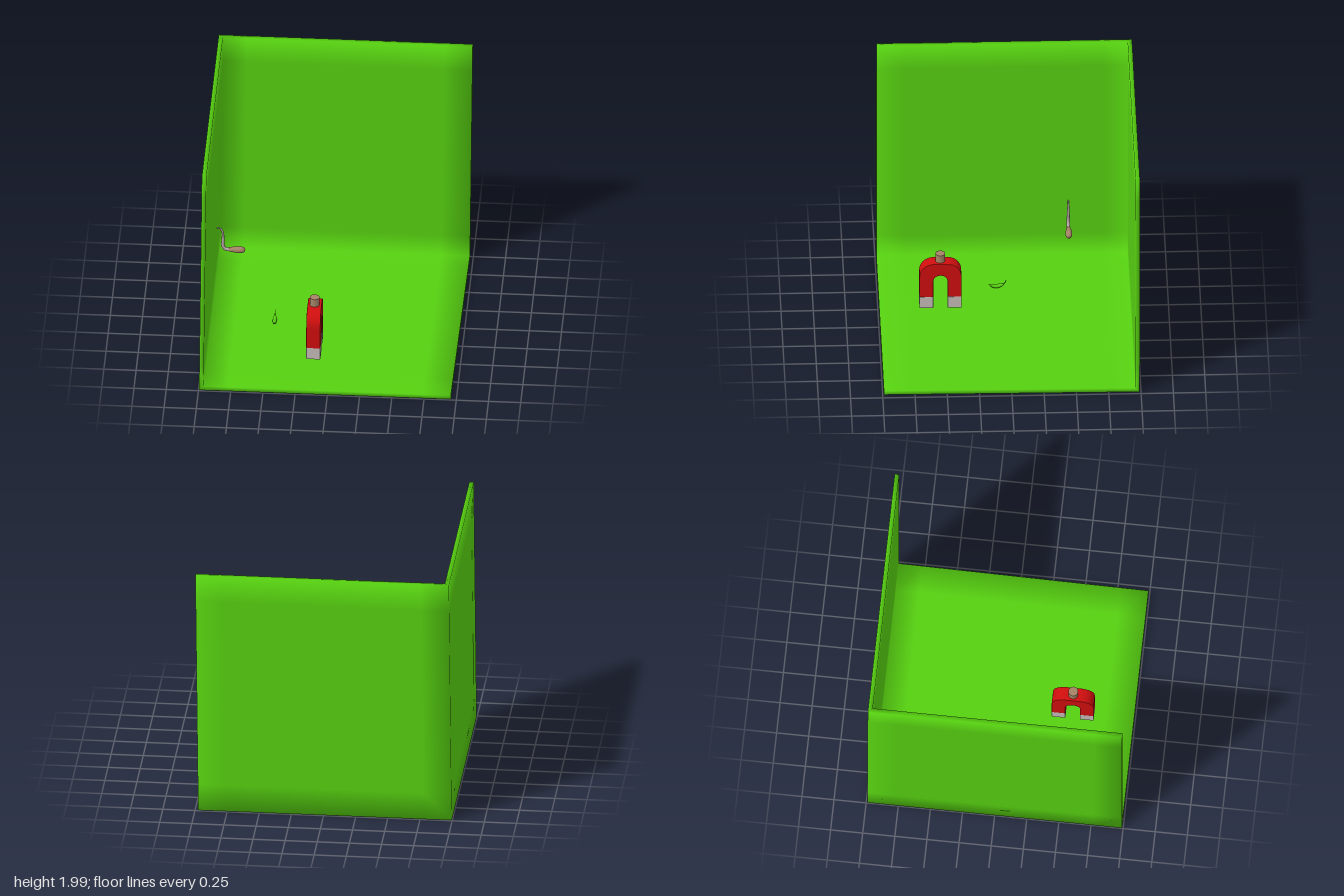
import * as THREE from 'three';

const paint = (name, color) => {
  const m = new THREE.MeshStandardMaterial({ color });
  m.name = name;
  return m;
};

function addMesh(parent, name, geometry, material, x = 0, y = 0, z = 0) {
  const mesh = new THREE.Mesh(geometry, material);
  mesh.name = name;
  mesh.position.set(x, y, z);
  parent.add(mesh);
  return mesh;
}

// Floor and two walls as one thin corner shell; normals blend softly across every edge.
function cornerShell() {
  const lo = [-0.985, 0, -0.99], hi = [0.987, 1.987, 0.99], t = 0.035, soft = 0.22;
  const positions = [], normals = [], index = [];
  const id = (a, side, i, j) => a * 32 + side * 16 + i * 4 + j;
  const quad = (a, b, c, d) => index.push(a, b, c, a, c, d);
  const along = (axis, side, i) => {
    const start = lo[axis] + (side ? 0 : t);
    return [start, lo[axis] + soft, hi[axis] - soft, hi[axis]][i];
  };
  for (let a = 0; a < 3; a++) {
    const b = (a + 1) % 3, c = (a + 2) % 3;
    for (let side = 0; side < 2; side++) {
      const dir = side ? -1 : 1;
      const tilt = (i) => (i === 0 ? dir : i === 3 ? 1 : 0);
      for (let i = 0; i < 4; i++) for (let j = 0; j < 4; j++) {
        const p = [0, 0, 0], n = [0, 0, 0];
        p[a] = along(a, side, 0);
        p[b] = along(b, side, i);
        p[c] = along(c, side, j);
        n[a] = dir;
        n[b] = tilt(i);
        n[c] = tilt(j);
        // Slight lean of the walls and taper of the floor
        p[0] += (p[1] - 1) * 0.011;
        if (p[0] > 0 && p[1] < 0.1) p[0] -= 0.01 * (p[2] + 1);
        positions.push(...p);
        normals.push(...new THREE.Vector3(...n).normalize().toArray());
      }
    }
    for (let i = 0; i < 3; i++) {
      for (let j = 0; j < 3; j++) {
        quad(id(a, 0, i, j), id(a, 0, i + 1, j), id(a, 0, i + 1, j + 1), id(a, 0, i, j + 1));
        quad(id(a, 1, i, j), id(a, 1, i, j + 1), id(a, 1, i + 1, j + 1), id(a, 1, i + 1, j));
      }
      // Outer rims
      quad(id(a, 0, 3, i), id(a, 1, 3, i), id(a, 1, 3, i + 1), id(a, 0, 3, i + 1));
      quad(id(a, 0, i, 3), id(a, 0, i + 1, 3), id(a, 1, i + 1, 3), id(a, 1, i, 3));
    }
  }
  const g = new THREE.BufferGeometry();
  g.setAttribute('position', new THREE.Float32BufferAttribute(positions, 3));
  g.setAttribute('normal', new THREE.Float32BufferAttribute(normals, 3));
  g.setIndex(index);
  return g;
}

// Tube through points whose radius follows a rule along its length
function taperedTube(points, radiusAt, segments = 24, sides = 12) {
  const curve = new THREE.CatmullRomCurve3(points.map((p) => new THREE.Vector3(...p)));
  const g = new THREE.TubeGeometry(curve, segments, 1, sides);
  const pos = g.attributes.position, v = new THREE.Vector3();
  for (let i = 0; i < pos.count; i++) {
    const u = Math.floor(i / (sides + 1)) / segments;
    const centre = curve.getPointAt(u);
    v.fromBufferAttribute(pos, i).sub(centre).multiplyScalar(radiusAt(u)).add(centre);
    pos.setXYZ(i, v.x, v.y, v.z);
  }
  return g;
}

// Profile in the z-y plane, extruded across x
function extrudeAcross(shape, width) {
  const bevel = 0.005;
  const g = new THREE.ExtrudeGeometry(shape, {
    depth: width - 2 * bevel, bevelThickness: bevel, bevelSize: bevel,
    bevelOffset: -bevel, bevelSegments: 2, curveSegments: 12,
  });
  return g.translate(0, 0, bevel - width / 2).rotateY(-Math.PI / 2);
}

export function createModel() {
  const green = paint('green', 0x56d010);
  const red = paint('red', 0xd00e0e);
  const pale = paint('pale grey', 0xc4bbb8);
  const wood = paint('wood brown', 0xa58266);
  const metal = paint('metal', 0xb8a6a6);
  const model = new THREE.Group();
  model.name = 'roomCorner';

  addMesh(model, 'wallsAndFloor', cornerShell(), green);

  // Horseshoe magnet
  const magnet = new THREE.Group();
  magnet.name = 'magnet';
  magnet.position.set(-0.13, 0, 0.52);
  model.add(magnet);
  const arch = new THREE.Shape();
  arch.moveTo(0.163, 0.22);
  arch.lineTo(0.163, 0.4);
  arch.bezierCurveTo(0.163, 0.47, 0.125, 0.515, 0.06, 0.522);
  arch.lineTo(-0.06, 0.522);
  arch.bezierCurveTo(-0.125, 0.515, -0.163, 0.47, -0.163, 0.4);
  arch.lineTo(-0.163, 0.22);
  arch.lineTo(-0.056, 0.22);
  arch.lineTo(-0.056, 0.36);
  arch.absarc(0, 0.36, 0.056, Math.PI, 0, true);
  arch.lineTo(0.056, 0.22);
  addMesh(magnet, 'magnetArch', extrudeAcross(arch, 0.11), red);
  for (const s of [-1, 1]) {
    const tip = new THREE.Shape();
    tip.moveTo(-0.0535, 0.12);
    tip.lineTo(0.0535, 0.12);
    tip.lineTo(0.0535, 0.222);
    tip.lineTo(-0.0535, 0.222);
    addMesh(magnet, 'magnetTip', extrudeAcross(tip, 0.11), pale, 0, 0, s * 0.1095);
  }
  addMesh(magnet, 'magnetKnob', new THREE.CylinderGeometry(0.038, 0.038, 0.08, 20), wood, 0, 0.55, 0);

  // Curved hook with a wooden handle
  const hook = new THREE.Group();
  hook.name = 'hook';
  hook.position.set(0, 0, -0.495);
  model.add(hook);
  const bend = [[-0.965, 0.515, 0], [-0.935, 0.518, 0], [-0.912, 0.485, 0], [-0.908, 0.42, 0],
    [-0.908, 0.355, 0], [-0.89, 0.328, 0], [-0.84, 0.322, 0]];
  addMesh(hook, 'hookShaft', taperedTube(bend, (u) => 0.005 + 0.009 * Math.min(1, u * 1.4)), metal);
  const profile = [[0, 0], [0.016, 0.002], [0.021, 0.03], [0.027, 0.07], [0.026, 0.1], [0.018, 0.122], [0, 0.128]]
    .map(([r, y]) => new THREE.Vector2(r, y));
  const handle = addMesh(hook, 'hookHandle', new THREE.LatheGeometry(profile, 16), wood, -0.863, 0.324, 0);
  handle.rotation.z = -Math.PI / 2;

  // Small crescent fruit with a thin stem
  const crescent = [[0, 0.074, 0.138], [0, 0.059, 0.11], [0, 0.056, 0.07], [0, 0.072, 0.025],
    [0, 0.09, 0.007], [0, 0.112, 0.001]];
  const thickness = (u) => (u === 0 ? 0 : Math.max(0.003, 0.016 * Math.sin(Math.PI * Math.min(1, u * 1.15))));
  addMesh(model, 'banana', taperedTube(crescent, thickness), green, -0.47, 0, 0);

  return model;
}
